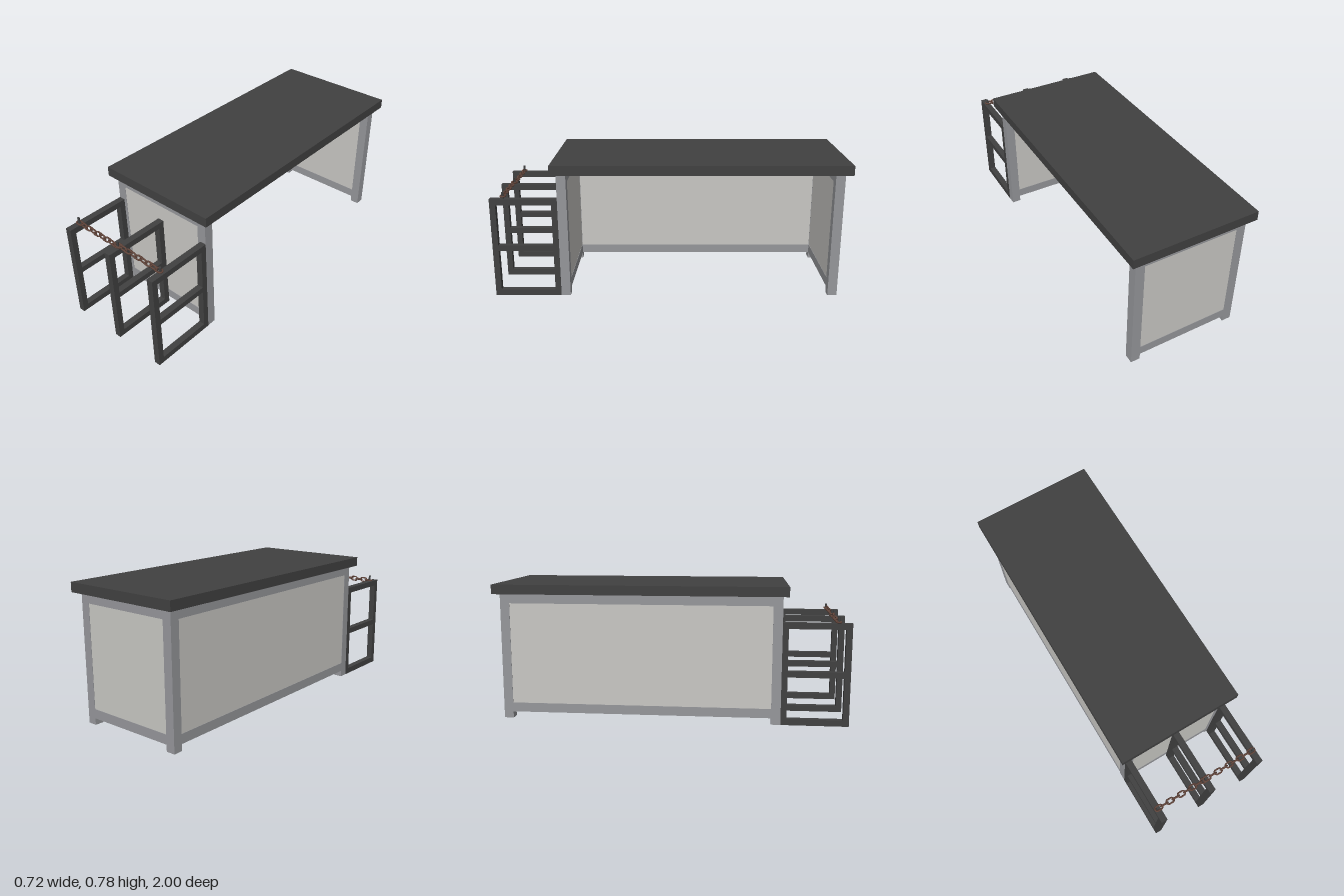
import * as THREE from 'three';

export function createModel() {
  const model = new THREE.Group();
  model.name = 'shelter';

  const mat = (name, color) => {
    const m = new THREE.MeshStandardMaterial({ color });
    m.name = name;
    return m;
  };
  const charcoal = mat('charcoal metal', 0x414141);
  const grey = mat('grey frame', 0x96979b);
  const pale = mat('pale panel', 0xc9c8c4);
  const rust = mat('rusty chain', 0x60443a);

  // Box given by its lower and upper limits on each axis
  function block(parent, name, material, [x0, x1], [y0, y1], [z0, z1]) {
    const mesh = new THREE.Mesh(new THREE.BoxGeometry(x1 - x0, y1 - y0, z1 - z0), material);
    mesh.position.set((x0 + x1) / 2, (y0 + y1) / 2, (z0 + z1) / 2);
    mesh.name = name;
    parent.add(mesh);
  }

  // Roof slab
  block(model, 'roof', charcoal, [-0.36, 0.36], [0.722, 0.776], [-1, 0.655]);

  // Corner posts
  const xOut = 0.323, xIn = 0.27;
  const leftX = [xIn, xOut], rightX = [-xOut, -xIn];
  const frontZ = [0.571, 0.624], backZ = [-0.964, -0.911];
  for (const x of [leftX, rightX]) {
    for (const z of [frontZ, backZ]) block(model, 'cornerPost', grey, x, [0, 0.722], z);
  }

  // Three walls, each a bottom rail, a top rail and a slightly recessed panel; +x stays open
  const inset = ([a, b]) => [a + 0.002, b - 0.002];
  function wall(name, x, z, panelX, panelZ) {
    const group = new THREE.Group();
    group.name = name;
    block(group, 'bottomRail', grey, x, [0.037, 0.09], z);
    block(group, 'topRail', grey, x, [0.668, 0.722], z);
    block(group, 'panel', pale, panelX, [0.09, 0.668], panelZ);
    model.add(group);
  }
  const spanX = [-xIn, xIn], spanZ = [backZ[1], frontZ[0]];
  wall('frontWall', spanX, frontZ, spanX, inset(frontZ));
  wall('backWall', spanX, backZ, spanX, inset(backZ));
  wall('longWall', rightX, spanZ, inset(rightX), spanZ);

  // Three ladder-shaped barriers with a chain peg on top
  for (const cx of [-0.306, 0, 0.306]) {
    const barrier = new THREE.Group();
    barrier.name = 'barrier';
    const x = [cx - 0.018, cx + 0.018];
    block(barrier, 'outerUpright', charcoal, x, [0, 0.578], [0.967, 1]);
    block(barrier, 'innerUpright', charcoal, x, [0, 0.578], [0.624, 0.657]);
    for (const y of [[0, 0.035], [0.273, 0.306], [0.544, 0.578]]) {
      block(barrier, 'crossbar', charcoal, x, y, [0.657, 0.967]);
    }
    const peg = new THREE.Mesh(new THREE.CylinderGeometry(0.0065, 0.0065, 0.037, 12), charcoal);
    peg.position.set(cx, 0.5955, 0.926);
    peg.name = 'chainPeg';
    barrier.add(peg);
    model.add(barrier);
  }

  // Oval chain link: a tube around a stadium path
  class LinkCurve extends THREE.Curve {
    getPoint(t, target = new THREE.Vector3()) {
      const r = 0.0125, h = 0.0095, arc = Math.PI * r, total = 2 * arc + 4 * h;
      let d = (t % 1) * total;
      if (d < arc) {
        const a = d / r - Math.PI / 2;
        return target.set(h + r * Math.cos(a), r * Math.sin(a), 0);
      }
      d -= arc;
      if (d < 2 * h) return target.set(h - d, r, 0);
      d -= 2 * h;
      if (d < arc) {
        const a = d / r + Math.PI / 2;
        return target.set(-h + r * Math.cos(a), r * Math.sin(a), 0);
      }
      return target.set(-h + d - arc, -r, 0);
    }
  }
  const linkGeometry = new THREE.TubeGeometry(new LinkCurve(), 32, 0.0045, 8, true);

  // Two chains of links that alternate between lying flat and standing upright
  for (const [name, startX, y] of [['rightChain', -0.297, 0.583], ['leftChain', 0.009, 0.591]]) {
    const chain = new THREE.Group();
    chain.name = name;
    for (let i = 0; i < 9; i++) {
      const link = new THREE.Mesh(linkGeometry, rust);
      link.position.set(startX + i * 0.0359, y, 0.926);
      if (i % 2 === 0) link.rotation.x = Math.PI / 2;
      link.name = 'chainLink';
      chain.add(link);
    }
    model.add(chain);
  }

  return model;
}
